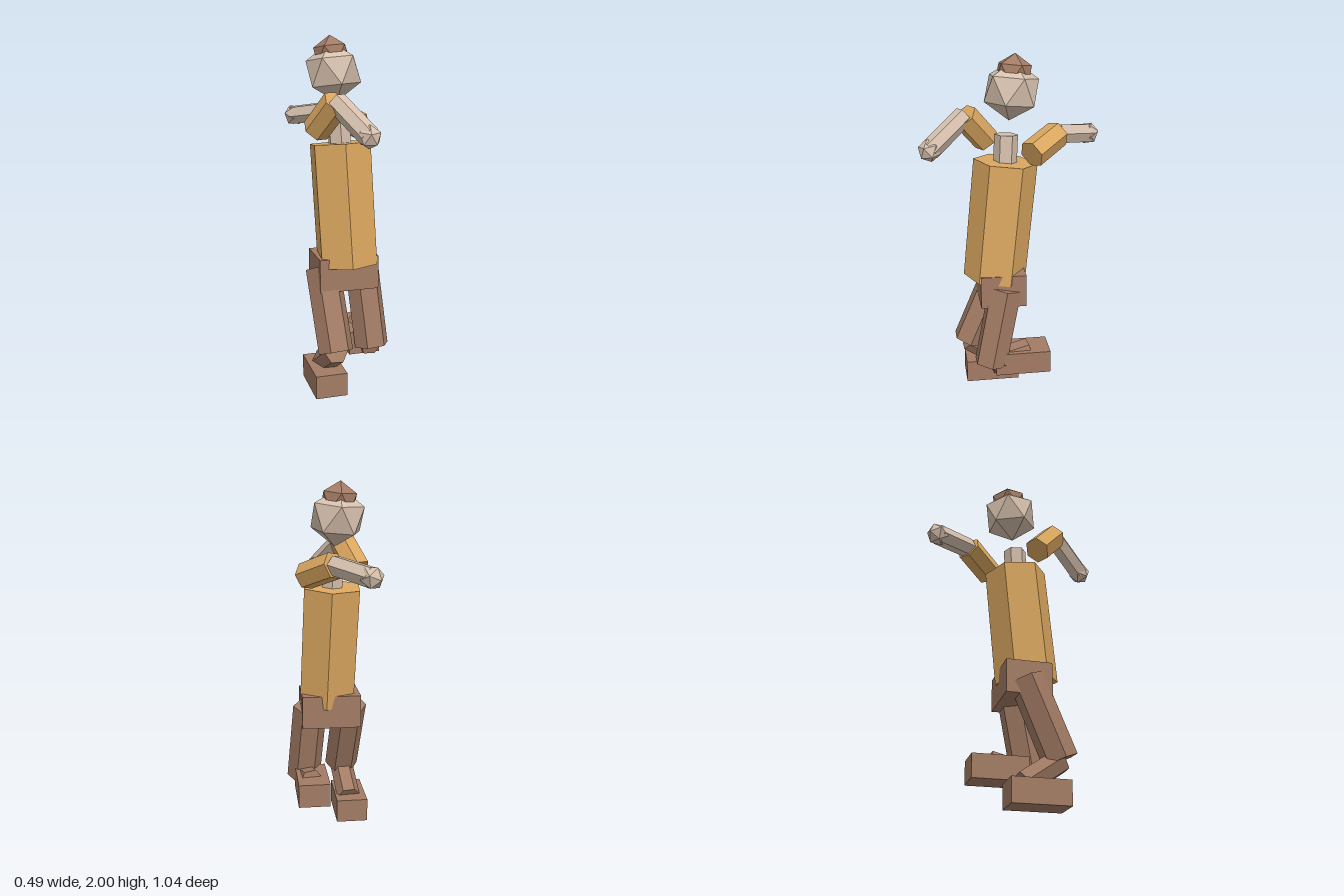
import * as THREE from 'three';

const mat = (name, color) => {
  const m = new THREE.MeshStandardMaterial({ color, flatShading: true });
  m.name = name;
  return m;
};
const V = (p) => new THREE.Vector3(...p);
const UP = new THREE.Vector3(0, 1, 0);

export function createModel() {
  const skin = mat('skin', 0xd6c0ad);
  const ochre = mat('ochre cloth', 0xdba760);
  const brown = mat('brown leather', 0xa27b64);
  const root = new THREE.Group();
  root.name = 'walkingFigure';

  const add = (name, geometry, material, position) => {
    const mesh = new THREE.Mesh(geometry, material);
    mesh.name = name;
    mesh.position.copy(position);
    root.add(mesh);
    return mesh;
  };

  // six-sided prism running from point a to point b
  const limb = (name, a, b, radius, material, twist = 0) => {
    const from = V(a), to = V(b), dir = to.clone().sub(from);
    const geo = new THREE.CylinderGeometry(radius, radius, dir.length(), 6).rotateY(twist);
    const mesh = add(name, geo, material, from.add(to).multiplyScalar(0.5));
    mesh.quaternion.setFromUnitVectors(UP, dir.normalize());
  };

  // icosahedron with one corner pointing along the axis
  const ball = (name, center, radius, axis, material) => {
    const geo = new THREE.IcosahedronGeometry(radius, 0)
      .rotateX(-Math.atan((1 + Math.sqrt(5)) / 2)).rotateY(Math.PI);
    add(name, geo, material, V(center)).quaternion.setFromUnitVectors(UP, V(axis).normalize());
  };

  const box = (name, size, center, material) =>
    add(name, new THREE.BoxGeometry(...size), material, V(center));

  // head and hair share a slight tilt
  const tilt = [-0.03, 0.36, -0.036];
  ball('head', [-0.036, 1.803, -0.002], 0.163, tilt, skin);
  ball('hair', [-0.042, 1.893, -0.014], 0.108, tilt, brown);

  // trunk
  limb('neck', [-0.01, 1.4, 0.038], [-0.02, 1.565, 0.03], 0.066, skin, -0.1);
  limb('torso', [0.013, 0.73, 0.105], [-0.01, 1.415, 0.035], 0.18, ochre, -0.1);
  box('hips', [0.34, 0.19, 0.26], [0, 0.695, 0.07], brown);

  // arms: shoulder, elbow, hand
  const arms = [
    ['right', [-0.17, 1.5, 0.125], [-0.09, 1.66, 0.255], [0.025, 1.5, 0.455]],
    ['left', [0.15, 1.49, -0.085], [0.01, 1.565, -0.25], [-0.155, 1.525, -0.462]],
  ];
  for (const [side, shoulder, elbow, hand] of arms) {
    limb(side + 'UpperArm', shoulder, elbow, 0.077, ochre);
    limb(side + 'Forearm', elbow, hand, 0.058, skin);
    ball(side + 'Hand', hand, 0.065, V(hand).sub(V(elbow)).toArray(), skin);
  }

  // legs: hip, knee, ankle, foot centre
  const legs = [
    ['right', [-0.12, 0.705, 0.065], [-0.095, 0.265, 0.255], [-0.115, 0.125, 0.05], [-0.125, 0.0675, 0.115]],
    ['left', [0.116, 0.7, 0.055], [0.15, 0.235, 0.148], [0.12, 0.285, -0.085], [0.115, 0.2425, -0.04]],
  ];
  for (const [side, hip, knee, ankle, foot] of legs) {
    limb(side + 'Thigh', knee, hip, 0.1, brown, Math.PI / 6);
    limb(side + 'Shin', ankle, knee, 0.07, brown, Math.PI / 6);
    box(side + 'Foot', [0.183, 0.135, 0.32], foot, brown);
  }
  return root;
}
